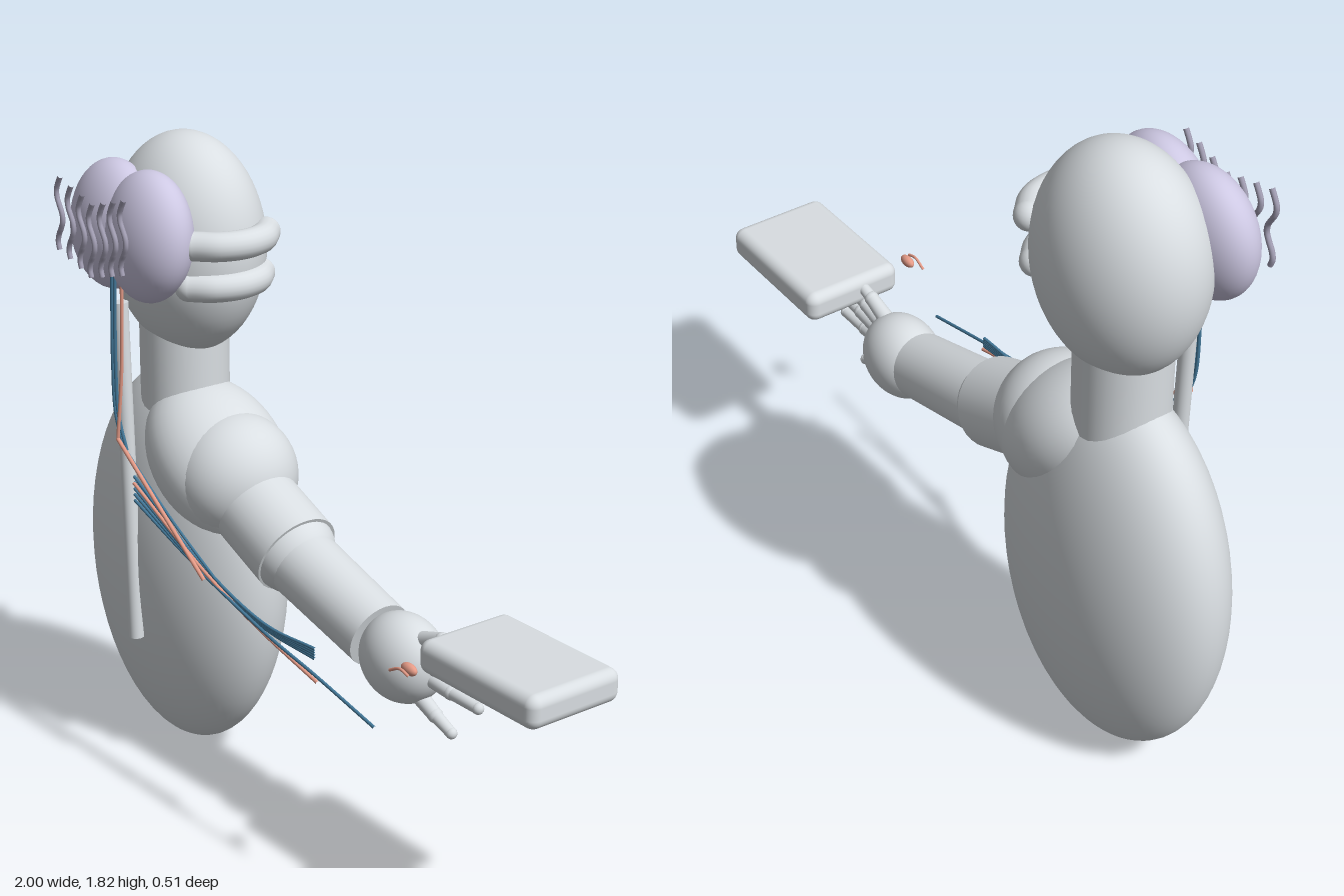
import * as THREE from 'three';
import { RoundedBoxGeometry } from 'three/addons/geometries/RoundedBoxGeometry.js';

const mat = (name, color) => {
  const m = new THREE.MeshStandardMaterial({ color });
  m.name = name;
  return m;
};
const V = (p) => new THREE.Vector3(...p);

export function createModel() {
  const root = new THREE.Group();
  root.name = 'nervePathwayFigure';
  const grey = mat('bodyGrey', 0xd9dee2);
  const lilac = mat('brainLilac', 0xcdc8e3);
  const groove = mat('grooveGrey', 0xa39fb4);
  const blue = mat('nerveBlue', 0x44799a);
  const coral = mat('nerveCoral', 0xe69c88);
  const Z = -0.037; // depth of the body's centre plane

  const add = (name, geo, m, parent = root) => {
    const mesh = new THREE.Mesh(geo, m);
    mesh.name = name;
    parent.add(mesh);
    return mesh;
  };
  const group = (name) => {
    const g = new THREE.Group();
    g.name = name;
    root.add(g);
    return g;
  };
  const ellipsoid = (name, pos, radii, m, parent, seg = 48) => {
    const e = add(name, new THREE.SphereGeometry(1, seg, seg / 2), m, parent);
    e.position.set(...pos);
    e.scale.set(...radii);
    return e;
  };
  // Cylinder running from point a to point b
  const rod = (name, a, b, ra, rb, m, parent) => {
    const A = V(a), B = V(b), d = B.clone().sub(A);
    const c = add(name, new THREE.CylinderGeometry(rb, ra, d.length(), 32), m, parent);
    c.position.copy(A).add(B).multiplyScalar(0.5);
    c.quaternion.setFromUnitVectors(new THREE.Vector3(0, 1, 0), d.normalize());
  };
  const tube = (name, pts, r, m, parent, seg = 40, sides = 8) =>
    add(name, new THREE.TubeGeometry(new THREE.CatmullRomCurve3(pts.map(V)), seg, r, sides), m, parent);

  // Torso, neck and head
  ellipsoid('torso', [-0.61, 0.575, Z], [0.39, 0.575, 0.215], grey, root, 64);
  rod('neck', [-0.61, 1.03, Z], [-0.61, 1.34, Z], 0.126, 0.126, grey);
  ellipsoid('head', [-0.586, 1.515, Z], [0.252, 0.309, 0.2], grey, root, 64);

  // Two rounded ridges wrapped around the left side of the head
  const ridges = group('headRidges');
  for (const [y, x, r] of [[1.567, -0.318, 0.04], [1.447, -0.342, 0.039]]) {
    const pts = [[x - 0.065, y, Z + 0.12], [x - 0.018, y, Z + 0.07], [x, y, Z],
      [x - 0.018, y, Z - 0.07], [x - 0.065, y, Z - 0.12]];
    tube('ridge', pts, r, grey, ridges, 32, 20);
    for (const p of [pts[0], pts[4]]) ellipsoid('ridgeEnd', p, [r, r, r], grey, ridges, 24);
  }

  // Brain lobes with wavy grooves floating in front
  const brain = group('brain');
  for (const s of [-1, 1])
    ellipsoid('brainLobe', [-0.599 + s * 0.085, 1.573, 0.138], [0.161, 0.18, 0.1], lilac, brain)
      .rotation.x = -0.1;
  [-0.785, -0.73, -0.675, -0.625, -0.57, -0.52, -0.47].forEach((x, i) => {
    const top = 1.66 + 0.014 * Math.abs(i - 3);
    const pts = [];
    for (let k = 0; k <= 10; k++)
      pts.push([x + 0.014 * Math.sin(k * 0.95 + 2.5), top - 0.021 * k, 0.248]);
    tube('groove', pts, 0.0075, groove, brain);
  });

  // Shoulder and arm
  const arm = group('arm');
  ellipsoid('shoulderYoke', [-0.45, 0.915, Z], [0.26, 0.17, 0.197], grey, arm)
    .rotation.z = -0.7;
  ellipsoid('shoulder', [-0.375, 0.888, Z], [0.178, 0.18, 0.18], grey, arm);
  rod('upperArm', [-0.36, 0.862, Z], [-0.086, 0.746, Z], 0.125, 0.125, grey, arm);
  ellipsoid('elbow', [-0.105, 0.752, Z], [0.119, 0.119, 0.119], grey, arm);
  rod('forearm', [-0.1, 0.742, Z], [0.275, 0.638, Z], 0.102, 0.095, grey, arm);

  // Hand with five fanned, jointed fingers
  const hand = group('hand');
  ellipsoid('palm', [0.375, 0.613, Z], [0.133, 0.122, 0.104], grey, hand);
  const fingers = [
    [[0.45, 0.69], [0.53, 0.72], [0.6, 0.74]],
    [[0.46, 0.66], [0.56, 0.68], [0.65, 0.688]],
    [[0.47, 0.63], [0.59, 0.637], [0.685, 0.638]],
    [[0.46, 0.6], [0.57, 0.588], [0.675, 0.584]],
    [[0.42, 0.54], [0.51, 0.498], [0.575, 0.473]],
  ];
  for (const f of fingers) {
    const [a, b, c] = f.map(([x, y]) => [x, y, Z]);
    rod('fingerBase', a, b, 0.024, 0.02, grey, hand);
    ellipsoid('fingerJoint', b, [0.021, 0.021, 0.021], grey, hand, 16);
    rod('fingerEnd', b, c, 0.018, 0.015, grey, hand);
    ellipsoid('fingertip', c, [0.016, 0.016, 0.016], grey, hand, 16);
  }

  // Rounded slab touched by the hand
  add('slab', new RoundedBoxGeometry(0.435, 0.092, 0.298, 5, 0.03), grey)
    .position.set(0.782, 0.724, -0.07);

  // Spinal cord rod
  rod('spinalCord', [-0.605, 1.375, 0.176], [-0.567, 0.38, 0.178], 0.022, 0.022, grey);

  // Nerves descending from the brain
  const nerves = group('nerves');
  for (const dx of [0, 0.014])
    tube('descendingNerve', [[-0.595 + dx, 1.46, 0.207], [-0.604 + dx, 1.2, 0.207],
      [-0.6 + dx, 1.06, 0.205], [-0.57 + dx, 0.96, 0.2]], 0.005, blue, nerves);
  tube('descendingCoralNerve', [[-0.552, 1.45, 0.204], [-0.563, 1.2, 0.205], [-0.58, 0.99, 0.213]],
    0.005, coral, nerves);
  tube('shoulderCoralNerve', [[-0.58, 0.99, 0.213], [-0.38, 0.85, 0.213], [-0.17, 0.705, 0.213]],
    0.006, coral, nerves);
  tube('shoulderNerve', [[-0.565, 0.96, 0.2], [-0.35, 0.82, 0.195], [-0.15, 0.71, 0.19]],
    0.004, blue, nerves);

  // Fan of arm nerves converging toward the wrist
  for (let i = 0; i < 5; i++) {
    const y = 0.88 - 0.018 * i;
    tube('armNerve', [[-0.55, y, 0.182], [-0.25, 0.735 - 0.006 * i, 0.182],
      [0.05, 0.65 - 0.003 * i, 0.177], [0.265, 0.652 - 0.007 * i, 0.167]], 0.0045, blue, nerves);
  }
  tube('armCoralNerve', [[-0.54, 0.865, 0.19], [-0.2, 0.72, 0.195], [0.05, 0.64, 0.193],
    [0.305, 0.578, 0.19]], 0.005, coral, nerves);
  tube('longArmNerve', [[-0.2, 0.71, 0.197], [0.1, 0.637, 0.197], [0.3, 0.6, 0.195],
    [0.545, 0.548, 0.193]], 0.0045, blue, nerves);

  // Sensory end at the slab
  ellipsoid('sensoryBulb', [0.617, 0.725, 0.143], [0.028, 0.016, 0.014], coral, nerves, 24);
  tube('sensoryFibre', [[0.57, 0.712, 0.167], [0.61, 0.73, 0.167], [0.645, 0.722, 0.167]],
    0.004, coral, nerves, 16);

  return root;
}
